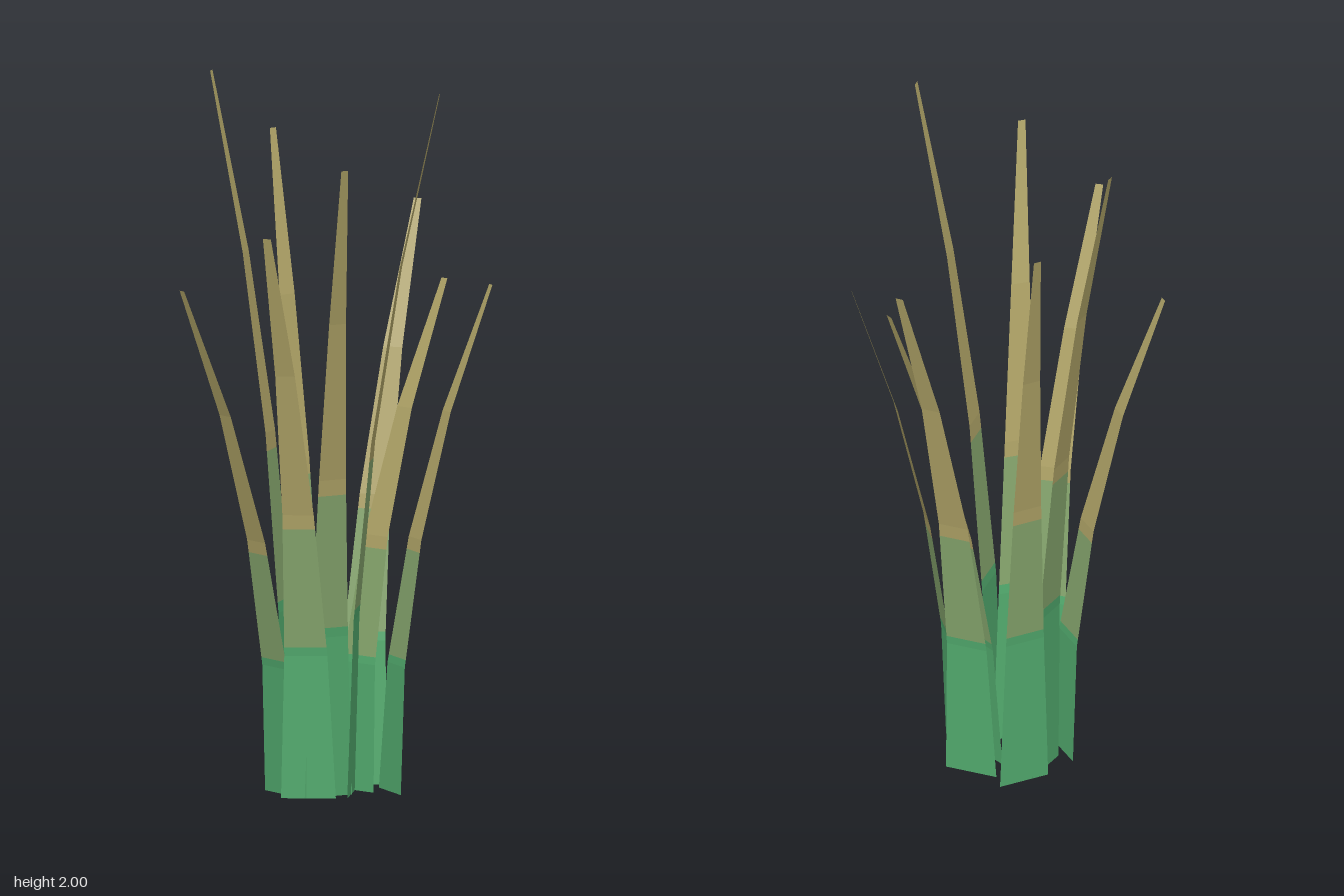
import * as THREE from 'three';

const paint = (name, color) =>
  Object.assign(new THREE.MeshStandardMaterial({ color, side: THREE.DoubleSide, flatShading: true }), { name });

// Each blade: base centre (x, z), tip centre (x, z), across-the-blade direction (x, z), height
const BLADES = [
  [0.002, -0.124, 0.027, -0.407, 0.96, -0.27, 1.81],
  [-0.073, -0.060, -0.202, -0.313, 0.66, -0.75, 2.0],
  [-0.140, 0.030, -0.420, -0.020, 0.20, 0.98, 1.43],
  [-0.105, 0.142, -0.315, 0.332, 0.90, 0.44, 1.62],
  [-0.040, 0.132, -0.109, 0.404, 0.99, -0.11, 1.81],
  [0.033, 0.123, 0.207, 0.343, 0.52, -0.85, 2.0],
  [0.155, 0.115, 0.420, 0.213, 0.0, 1.0, 1.43],
  [0.072, 0.050, 0.350, 0.050, 0.41, 0.91, 1.43],
  [0.135, -0.042, 0.375, -0.194, 0.81, 0.59, 1.62],
];

const BASE_WIDTH = 0.153, TIP_WIDTH = 0.022;
// Four straight segments, cut where the colour changes
const ROWS = [0, 0.25, 0.265, 0.475, 0.5, 0.75, 1];
const ROW_MATERIAL = [0, 0, 1, 2, 2, 2];

// Outward lean: quadratic at the quarter joints, straight between them
function lean(t) {
  const a = Math.min(Math.floor(t * 4), 3) / 4;
  return a * a + (t - a) * (2 * a + 0.25);
}

function bladeGeometry([bx, bz, tx, tz, ax, az, height]) {
  const row = (t) => {
    const k = lean(t), half = THREE.MathUtils.lerp(BASE_WIDTH, TIP_WIDTH, t) / 2;
    const x = bx + (tx - bx) * k, z = bz + (tz - bz) * k;
    return [-half, half].map((h) => [x + ax * h, t * height, z + az * h]);
  };
  const geometry = new THREE.BufferGeometry();
  const points = [];
  ROW_MATERIAL.forEach((material, i) => {
    const [a, b] = row(ROWS[i]), [d, c] = row(ROWS[i + 1]);
    points.push(...a, ...b, ...c, ...a, ...c, ...d);
    geometry.addGroup(i * 6, 6, material);
  });
  geometry.setAttribute('position', new THREE.Float32BufferAttribute(points, 3));
  geometry.computeVertexNormals();
  return geometry;
}

export function createModel() {
  const materials = [
    paint('baseGreen', 0x52ab6e),
    paint('middleOlive', 0x86a66d),
    paint('dryTan', 0xb0a467),
  ];
  const model = new THREE.Group();
  model.name = 'grassTuft';
  BLADES.forEach((blade, i) => {
    const mesh = new THREE.Mesh(bladeGeometry(blade), materials);
    mesh.name = `grassBlade${i + 1}`;
    model.add(mesh);
  });
  return model;
}
